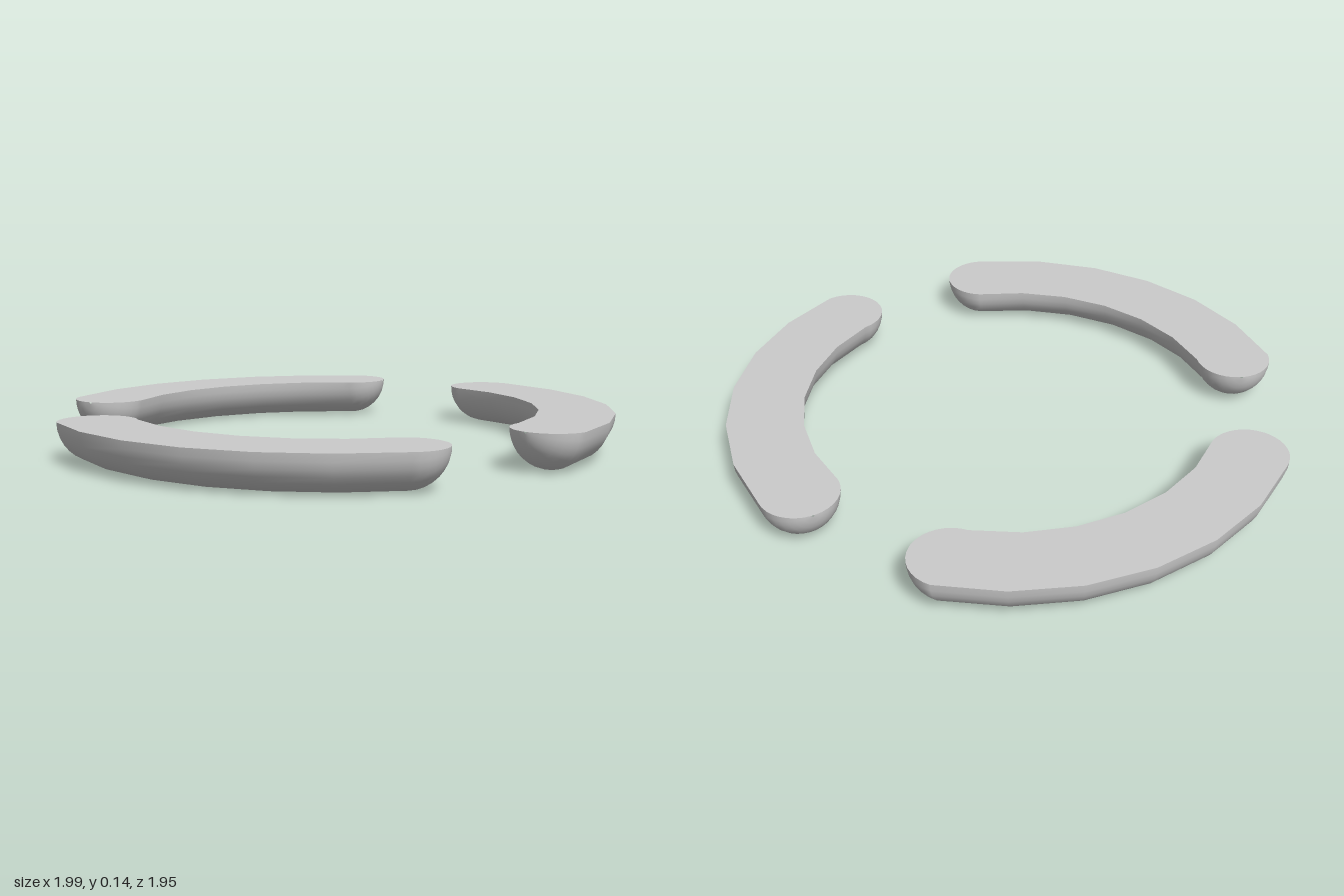
import * as THREE from 'three';

const R = 0.866;        // ring radius
const TUBE = 0.135;     // half width of a segment
const HEIGHT = 0.138;   // depth below the flat top
const CENTRE_Z = -0.027;
const SIDES = 16, STEPS = 6, CAP = 8;
const rad = THREE.MathUtils.degToRad;
const START = rad(-10.8), END = rad(69.3), TILT = rad(11);

// Cross-section stations: slightly skewed rings, with a dome at each end
function stations() {
  const list = [];
  const add = (a, phi) => {
    const across = a + 0 - TILT, along = across + Math.PI / 2;
    const push = TUBE * Math.sin(phi);
    list.push({
      x: R * Math.cos(a) + push * Math.cos(along),
      z: -R * Math.sin(a) - push * Math.sin(along),
      lx: Math.cos(across), lz: -Math.sin(across), w: Math.cos(phi),
    });
  };
  for (let i = CAP; i > 0; i--) add(START, -rad(88) * i / CAP);
  for (let i = 0; i <= STEPS; i++) add(START + (END - START) * i / STEPS, 0);
  for (let i = 1; i <= CAP; i++) add(END, rad(88) * i / CAP);
  return list;
}

// Loft the half-round section from outer edge (0) to inner edge (PI)
function loft(list, sides, isTop) {
  const pos = [], index = [], row = sides + 1;
  list.forEach((s, i) => {
    for (let j = 0; j <= sides; j++) {
      const t = Math.PI * j / sides, off = TUBE * s.w * Math.cos(t);
      const drop = isTop ? 0 : HEIGHT * s.w * Math.sin(t);
      pos.push(s.x + s.lx * off, HEIGHT - drop, s.z + s.lz * off);
      if (i < list.length - 1 && j < sides) {
        const a = i * row + j, b = a + 1, c = a + row, d = c + 1;
        if (isTop) index.push(a, c, b, b, c, d);
        else index.push(a, b, c, b, d, c);
      }
    }
  });
  const g = new THREE.BufferGeometry();
  g.setAttribute('position', new THREE.Float32BufferAttribute(pos, 3));
  g.setIndex(index);
  g.computeVertexNormals();
  return g;
}

export function createModel() {
  const group = new THREE.Group();
  const material = new THREE.MeshStandardMaterial({ color: 0xcccccc });
  const list = stations();
  const under = loft(list, SIDES, false), top = loft(list, 1, true);

  // Three equal segments around the ring
  ['leftSegment', 'rightSegment', 'frontSegment'].forEach((name, i) => {
    const segment = new THREE.Group();
    segment.name = name;
    const body = new THREE.Mesh(under, material);
    body.name = 'roundedUnderside';
    const lid = new THREE.Mesh(top, material);
    lid.name = 'flatTop';
    segment.add(body, lid);
    segment.rotation.y = i * Math.PI * 2 / 3;
    segment.position.z = CENTRE_Z;
    group.add(segment);
  });
  return group;
}
